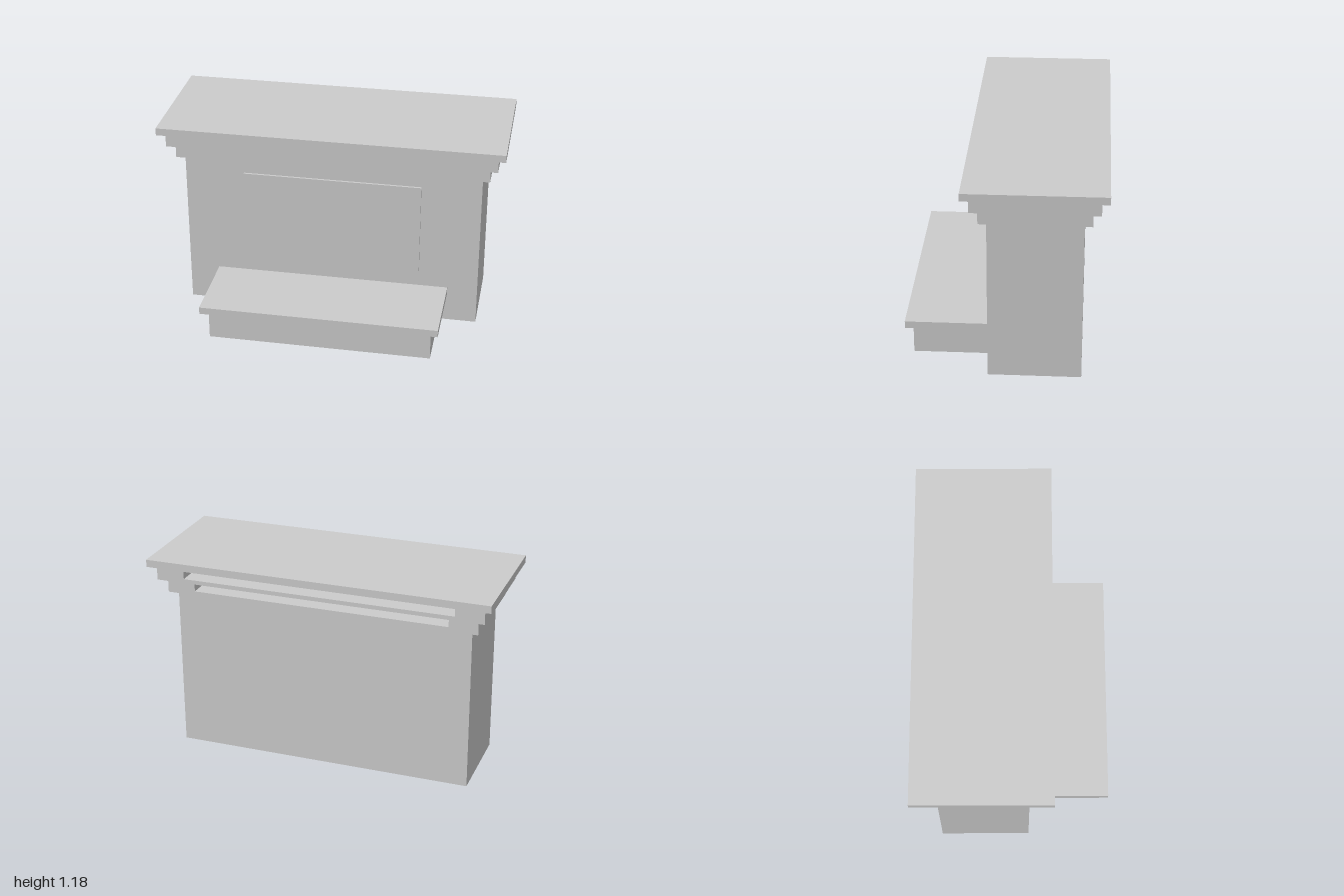
import * as THREE from 'three';

const material = new THREE.MeshStandardMaterial({ color: 0xcccccc, flatShading: true });

// Box given by its half width (centred on x) and its y and z ranges
function block(name, halfX, y0, y1, z0, z1) {
  const mesh = new THREE.Mesh(new THREE.BoxGeometry(2 * halfX, y1 - y0, z1 - z0), material);
  mesh.position.set(0, (y0 + y1) / 2, (z0 + z1) / 2);
  mesh.name = name;
  return mesh;
}

// Cornice tier: a thin floor with a U-shaped rim that is open at the back
function corniceTier(name, halfX, y0, y1, z0, z1) {
  const rim = 0.165, floor = 0.024;
  const inner = halfX - rim;
  const outline = [
    [-halfX, z1], [halfX, z1], [halfX, z0], [inner, z0],
    [inner, z1 - rim], [-inner, z1 - rim], [-inner, z0], [-halfX, z0],
  ].map(([x, z]) => new THREE.Vector2(x, -z));
  const geometry = new THREE.ExtrudeGeometry(new THREE.Shape(outline), {
    depth: y1 - y0 - floor, bevelEnabled: false,
  });
  geometry.rotateX(-Math.PI / 2);
  geometry.translate(0, y0 + floor, 0);
  const rimMesh = new THREE.Mesh(geometry, material);
  rimMesh.name = name + 'Rim';

  const tier = new THREE.Group();
  tier.name = name;
  tier.add(block(name + 'Floor', halfX, y0, y0 + floor, z0, z1), rimMesh);
  return tier;
}

export function createModel() {
  const model = new THREE.Group();
  model.name = 'fireplace';
  model.add(
    // Main body with its raised front panel
    block('body', 0.87, 0, 0.96, -0.435, 0.087),
    block('frontPanel', 0.522, 0.318, 0.872, 0.087, 0.1),
    // Hearth bench
    block('hearthBase', 0.65, 0, 0.178, 0.087, 0.522),
    block('hearthTop', 0.694, 0.178, 0.22, 0.087, 0.565),
    // Stepped cornice and mantel shelf
    corniceTier('lowerCornice', 0.913, 0.96, 1.046, -0.478, 0.13),
    corniceTier('upperCornice', 0.957, 1.046, 1.133, -0.522, 0.174),
    block('mantelShelf', 1, 1.133, 1.176, -0.565, 0.217),
  );
  return model;
}
